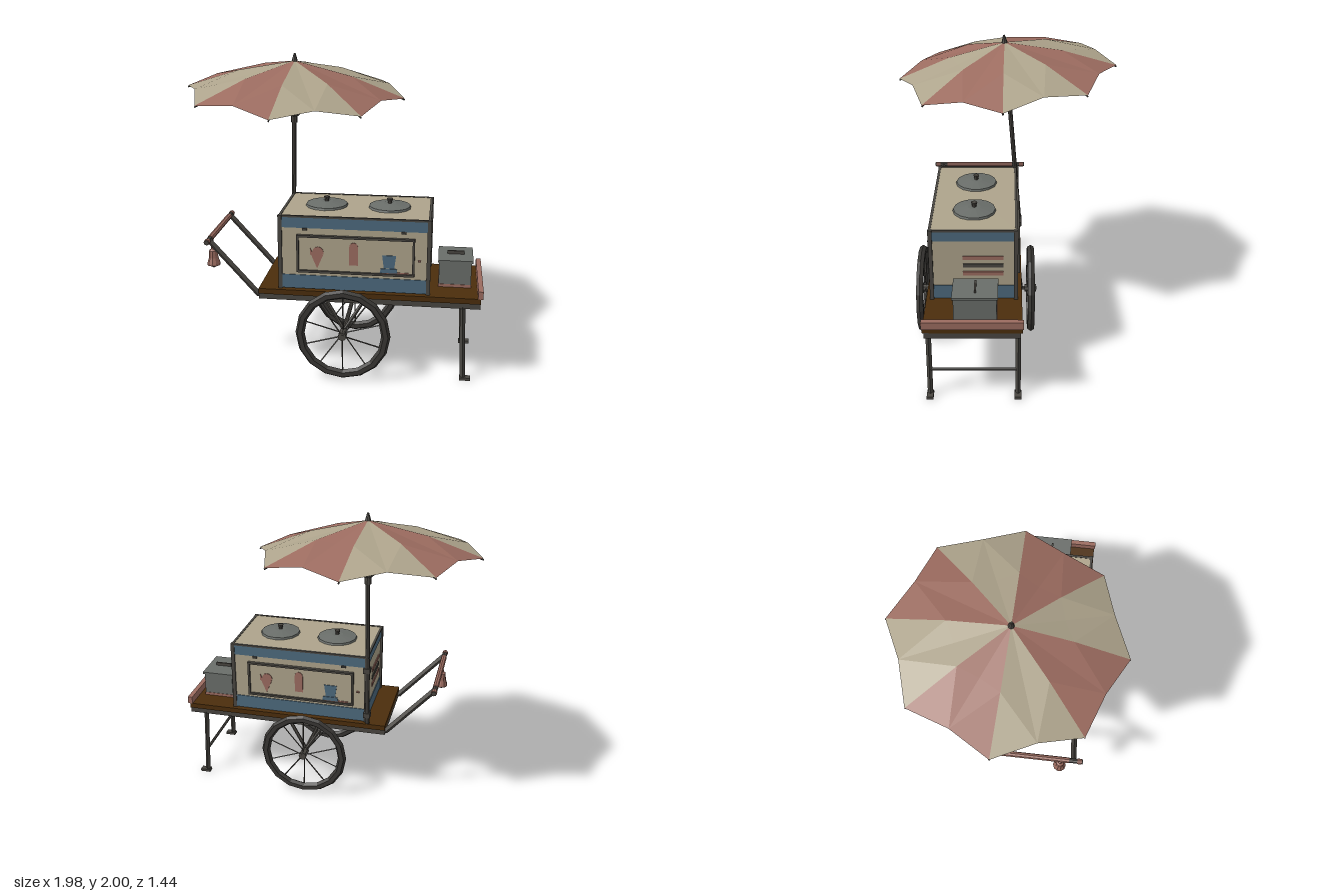
import * as THREE from 'three';

const mat = (name, color, extra = {}) => Object.assign(new THREE.MeshStandardMaterial({ color, ...extra }), { name });
const V = (x, y, z) => new THREE.Vector3(x, y, z);

export function createModel() {
  const root = new THREE.Group();
  root.name = 'streetCart';
  const flat = { flatShading: true };
  const cream = mat('cream', 0xaea48c, { ...flat, side: THREE.DoubleSide });
  const pink = mat('dustyPink', 0x9c6c60, { ...flat, side: THREE.DoubleSide });
  const blue = mat('slateBlue', 0x4d6a7e, flat);
  const iron = mat('darkIron', 0x494641, flat);
  const wood = mat('brownWood', 0x4c2e0c, flat);
  const steel = mat('steel', 0x6a6e6a, flat);
  const rubber = mat('rubber', 0x393734, flat);

  const add = (name, geo, m, x = 0, y = 0, z = 0, parent = root) => {
    const mesh = new THREE.Mesh(geo, m);
    mesh.name = name;
    mesh.position.set(x, y, z);
    parent.add(mesh);
    return mesh;
  };
  const box = (name, m, w, h, d, x, y, z, parent) => add(name, new THREE.BoxGeometry(w, h, d), m, x, y, z, parent);
  const cyl = (name, m, r1, r2, h, n, x, y, z, parent) => add(name, new THREE.CylinderGeometry(r1, r2, h, n), m, x, y, z, parent);
  const rod = (name, m, a, b, r, n = 6, parent = root) => {
    const mid = a.clone().add(b).multiplyScalar(0.5);
    const mesh = cyl(name, m, r, r, a.distanceTo(b), n, mid.x, mid.y, mid.z, parent);
    mesh.quaternion.setFromUnitVectors(V(0, 1, 0), b.clone().sub(a).normalize());
    return mesh;
  };
  const CX = 0.175, CZ = 0.2; // centre of the cabinet
  const sides = [0.475, -0.075]; // z of the paired frame parts

  // Platform, frame and end bumper
  box('deck', wood, 1.4, 0.035, 0.6, 0.27, 0.545, CZ);
  for (const z of [0.475, -0.075]) box('frameSideBeam', iron, 1.4, 0.04, 0.03, 0.27, 0.51, z);
  for (const x of [-0.415, 0.12, 0.86, 0.955]) box('frameCrossBeam', iron, 0.03, 0.035, 0.52, x, 0.51, CZ);
  box('endBumper', pink, 0.032, 0.05, 0.61, 0.968, 0.588, CZ);

  // Cabinet with painted bands and metal edges
  box('cabinetBody', cream, 0.93, 0.47, 0.53, CX, 0.8, CZ);
  box('lowerBand', blue, 0.94, 0.09, 0.54, CX, 0.612, CZ);
  box('upperBand', blue, 0.94, 0.07, 0.54, CX, 1.004, CZ);
  box('cabinetTop', cream, 0.93, 0.008, 0.53, CX, 1.041, CZ);
  for (const sx of [-1, 1]) {
    for (const sz of [-1, 1]) box('cornerPost', iron, 0.025, 0.485, 0.025, CX + sx * 0.467, 0.805, CZ + sz * 0.262);
    box('topEdgeSide', iron, 0.016, 0.012, 0.54, CX + sx * 0.467, 1.042, CZ);
  }
  for (const sz of [-1, 1]) box('topEdgeLong', iron, 0.94, 0.012, 0.016, CX, 1.042, CZ + sz * 0.264);

  // Painted shapes for the display panels
  const plate = (name, m, pts, parent) => add(name, new THREE.ExtrudeGeometry(
    new THREE.Shape(pts.map(p => new THREE.Vector2(...p))), { depth: 0.005, bevelEnabled: false }), m, 0, 0, 0.007, parent);
  const arc = (cx, cy, r) => [0, 1, 2, 3, 4, 5, 6].map(i => [cx + r * Math.cos(i * Math.PI / 6), cy + r * Math.sin(i * Math.PI / 6)]);
  for (const s of [1, -1]) {
    const panel = new THREE.Group();
    panel.name = s > 0 ? 'frontDisplay' : 'backDisplay';
    panel.position.set(CX, 0.803, CZ + s * 0.265);
    panel.rotation.y = s > 0 ? 0 : Math.PI;
    root.add(panel);
    box('displayPanel', cream, 0.72, 0.235, 0.012, 0.01, 0, 0.001, panel);
    for (const t of [-1, 1]) {
      box('displayFrameRail', iron, 0.74, 0.014, 0.028, 0.01, t * 0.116, 0.008, panel);
      box('displayFrameStile', iron, 0.014, 0.24, 0.028, 0.01 + t * 0.363, 0, 0.008, panel);
      box('hinge', iron, 0.03, 0.012, 0.012, t * 0.31, 0.158, 0.006, panel);
    }
    box('latch', pink, 0.02, 0.01, 0.012, 0.41, -0.02, 0.004, panel);
    plate('coneScoop', pink, [[-0.275, -0.005], [-0.235, -0.02], [-0.19, 0], ...arc(-0.225, 0.012, 0.036), [-0.275, 0.04]], panel);
    plate('coneWafer', pink, [[-0.23, -0.095], [-0.192, -0.005], [-0.268, -0.005]], panel);
    plate('iceLolly', pink, [[-0.028, -0.065], [0.028, -0.065], ...arc(0, 0.055, 0.028)], panel);
    plate('cup', blue, [[0.19, -0.075], [0.255, -0.075], [0.265, 0.01], [0.178, 0.01]], panel);
    plate('cupTray', blue, [[0.165, -0.105], [0.275, -0.105], [0.27, -0.078], [0.17, -0.078]], panel);
    plate('cupStripe', pink, [[0.18, -0.112], [0.345, -0.112], [0.345, -0.1], [0.18, -0.1]], panel);

    // Stripes on the cabinet end
    [[0.855, pink], [0.8, iron], [0.745, pink]].forEach(([y, m]) =>
      box('endStripe', m, 0.008, 0.026, 0.25, CX + s * 0.467, y, CZ - s * 0.06));
  }

  // Round lids with knobs
  for (const x of [-0.03, 0.378]) {
    cyl('lidRim', steel, 0.133, 0.137, 0.014, 14, x, 1.053, CZ);
    cyl('lidDome', steel, 0.04, 0.122, 0.014, 14, x, 1.067, CZ);
    cyl('lidKnobStem', iron, 0.012, 0.014, 0.02, 8, x, 1.08, CZ);
    cyl('lidKnob', iron, 0.02, 0.015, 0.018, 8, x, 1.096, CZ);
  }

  // Small money box
  box('moneyBox', steel, 0.205, 0.17, 0.26, 0.808, 0.645, 0.185);
  box('moneyBoxLid', steel, 0.222, 0.014, 0.276, 0.81, 0.736, 0.185);
  box('moneyBoxHandle', iron, 0.11, 0.022, 0.012, 0.81, 0.754, 0.185);
  box('moneyBoxBase', pink, 0.21, 0.02, 0.266, 0.808, 0.572, 0.185);

  // Legs with feet and cross bars
  for (const z of sides) {
    rod('leg', iron, V(0.86, 0.5, z), V(0.878, 0.015, z), 0.017, 4);
    box('foot', iron, 0.07, 0.018, 0.042, 0.892, 0.009, z);
  }
  rod('legBar', iron, V(0.871, 0.19, -0.075), V(0.871, 0.19, 0.475), 0.01);

  // Wheels, axle and braces
  rod('axle', iron, V(0.12, 0.31, -0.21), V(0.12, 0.31, 0.615), 0.014, 8);
  for (const z of [0.573, -0.168]) {
    const wheel = new THREE.Group();
    wheel.name = 'wheel';
    wheel.position.set(0.12, 0.31, z);
    root.add(wheel);
    add('tyre', new THREE.TorusGeometry(0.272, 0.029, 6, 16), rubber, 0, 0, 0, wheel).scale.z = 0.9;
    rod('hub', iron, V(0, 0, -0.04), V(0, 0, 0.04), 0.027, 8, wheel);
    for (let i = 0; i < 10; i++) {
      const a = Math.PI / 2 + i * Math.PI / 5;
      const off = i % 2 ? 0.022 : -0.022;
      rod('spoke', iron, V(0, 0, off), V(0.255 * Math.cos(a), 0.255 * Math.sin(a), 0), 0.0045, 4, wheel);
    }
  }
  for (const [z, zt] of [[0.505, 0.475], [-0.105, -0.075]])
    for (const dx of [-0.12, 0.12]) rod('axleBrace', iron, V(0.12, 0.31, z), V(0.12 + dx, 0.5, zt), 0.012);

  // Push handle with grips and a bell
  for (const z of sides) rod('handleArm', iron, V(-0.43, 0.51, z), V(-0.75, 0.865, z), 0.019, 4);
  rod('handleBar', iron, V(-0.75, 0.865, -0.135), V(-0.75, 0.865, 0.535), 0.016, 8);
  for (const [a, b] of [[-0.128, -0.098], [-0.045, 0.445], [0.498, 0.528]])
    rod('handleGrip', pink, V(-0.75, 0.865, a), V(-0.75, 0.865, b), 0.019, 8);
  rod('bellCord', iron, V(-0.747, 0.79, 0.39), V(-0.747, 0.865, 0.39), 0.004, 4);
  const bell = [[0, 0.135], [0.014, 0.132], [0.014, 0.118], [0.027, 0.108], [0.03, 0.06], [0.043, 0.02], [0.042, 0.01], [0.032, 0.015]];
  add('bell', new THREE.LatheGeometry(bell.map(p => new THREE.Vector2(...p)), 10), pink, -0.747, 0.66, 0.39);
  cyl('bellClapper', iron, 0.01, 0.01, 0.025, 6, -0.747, 0.665, 0.39);

  // Leaning parasol pole with clamps
  const base = V(-0.31, 0.57, -0.098), top = V(-0.265, 1.95, 0.01);
  const at = y => base.clone().lerp(top, (y - base.y) / (top.y - base.y));
  rod('parasolPole', iron, base, top, 0.015, 8);
  for (const y of [0.63, 0.95]) {
    const p = at(y);
    box('poleClamp', iron, 0.045, 0.035, 0.05, p.x + 0.004, y, p.z + 0.008);
  }

  // Parasol head, built along the pole's axis
  const head = new THREE.Group();
  head.name = 'parasolHead';
  head.position.copy(top);
  head.quaternion.setFromUnitVectors(V(0, 1, 0), top.clone().sub(base).normalize());
  root.add(head);
  cyl('finial', iron, 0.006, 0.02, 0.05, 8, 0, 0.023, 0, head);
  cyl('runner', iron, 0.022, 0.022, 0.05, 8, 0, -0.385, 0, head);
  const polar = (k, r, y) => {
    const a = Math.PI / 90 + k * Math.PI / 4;
    return V(r * Math.sin(a), y, -r * Math.cos(a));
  };
  for (let k = 0; k < 8; k++) {
    const A = V(0, 0, 0), M0 = polar(k, 0.37, -0.08), M1 = polar(k + 1, 0.37, -0.08);
    const C0 = polar(k, 0.722, -0.205), C1 = polar(k + 1, 0.722, -0.205);
    const G = polar(k + 0.5, 0.33, -0.088), N = polar(k + 0.5, 0.645, -0.168);
    const tris = [A, G, M0, A, M1, G, M0, N, C0, M0, G, N, G, M1, N, N, M1, C1];
    const geo = new THREE.BufferGeometry().setFromPoints(tris);
    geo.computeVertexNormals();
    add('canopyPanel', geo, k % 2 ? cream : pink, 0, 0, 0, head);
    const low = p => p.clone().add(V(0, -0.009, 0));
    rod('ribInner', iron, low(A), low(M0), 0.005, 4, head);
    rod('ribOuter', iron, low(M0), low(C0), 0.005, 4, head);
    rod('strut', iron, polar(k, 0.018, -0.365), polar(k, 0.33, -0.085), 0.005, 4, head);
  }
  return root;
}
